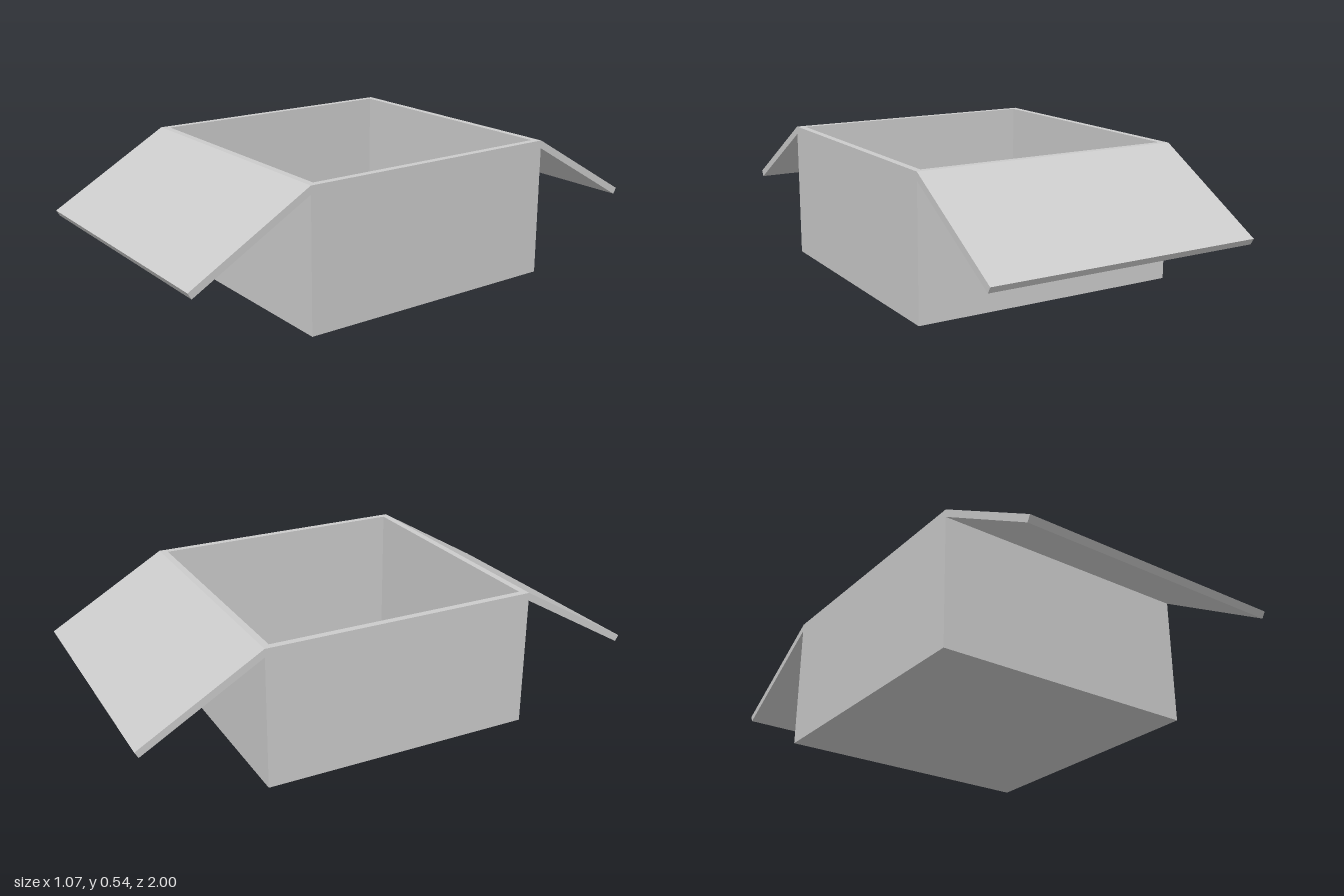
import * as THREE from 'three';

const SIZE = 1.072, HALF = SIZE / 2, HEIGHT = 0.536, WALL = 0.0268, FLOOR = 0.0135;
const ANGLE = Math.PI / 6;

export function createModel() {
  const model = new THREE.Group();
  const material = new THREE.MeshStandardMaterial({ color: 0xcccccc });
  const add = (name, geometry) => {
    const mesh = new THREE.Mesh(geometry, material);
    mesh.name = name;
    model.add(mesh);
    return mesh;
  };

  // Open tray: a square ring of walls, extruded upwards from the floor
  const h = HALF, i = HALF - WALL;
  const square = (r) => [[-r, -r], [r, -r], [r, r], [-r, r]].map(([x, y]) => new THREE.Vector2(x, y));
  const ring = new THREE.Shape(square(h));
  ring.holes.push(new THREE.Path(square(i).reverse()));
  const walls = new THREE.ExtrudeGeometry(ring, { depth: HEIGHT, bevelEnabled: false });
  add('walls', walls.rotateX(-Math.PI / 2));

  // Thin floor fitted between the walls
  add('floor', new THREE.BoxGeometry(2 * i, FLOOR, 2 * i).translate(0, FLOOR / 2, 0));

  // Sloping flaps hinged on the front and back rims, cut flush with the walls
  const dx = HEIGHT * Math.cos(ANGLE), dy = HEIGHT * Math.sin(ANGLE);
  const profile = new THREE.Shape([
    new THREE.Vector2(h, HEIGHT),
    new THREE.Vector2(h, HEIGHT - WALL / Math.cos(ANGLE)),
    new THREE.Vector2(h + dx - WALL * Math.sin(ANGLE), HEIGHT - dy - WALL * Math.cos(ANGLE)),
    new THREE.Vector2(h + dx, HEIGHT - dy),
  ]);
  const flap = new THREE.ExtrudeGeometry(profile, { depth: SIZE, bevelEnabled: false });
  flap.translate(0, 0, -h);
  add('frontFlap', flap).rotation.y = -Math.PI / 2;
  add('backFlap', flap).rotation.y = Math.PI / 2;

  return model;
}
